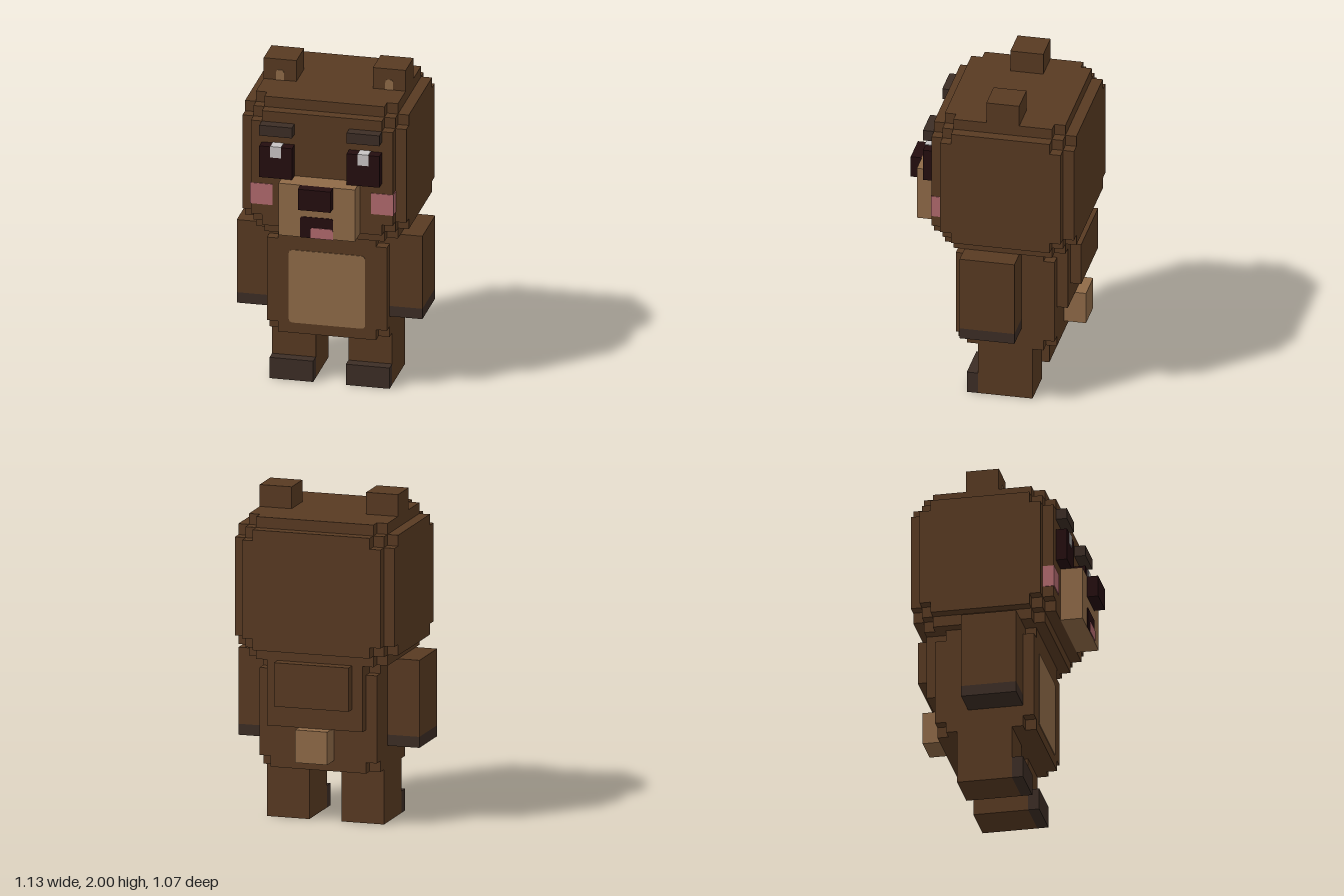
import * as THREE from 'three';
import { mergeGeometries } from 'three/addons/utils/BufferGeometryUtils.js';

const U = 1 / 15; // one block
const T = 0.06;   // thickness of painted plates, in blocks

const mat = (name, color) => {
  const m = new THREE.MeshStandardMaterial({ color });
  m.name = name;
  return m;
};

export function createModel() {
  const fur = mat('brown fur', 0x583a22);
  const tan = mat('tan fur', 0x8f6a47);
  const claw = mat('dark grey brown', 0x3c2d25);
  const dark = mat('near black', 0x240d0f);
  const pink = mat('pink', 0xb1696d);
  const white = mat('eye shine', 0xc8c4c4);
  const model = new THREE.Group();
  model.name = 'blockBear';

  const add = (name, geometry, material) => {
    const mesh = new THREE.Mesh(geometry, material);
    mesh.name = name;
    model.add(mesh);
  };
  // Box geometry from ranges given in blocks
  const span = ([x0, x1], [y0, y1], [z0, z1]) =>
    new THREE.BoxGeometry((x1 - x0) * U, (y1 - y0) * U, (z1 - z0) * U)
      .translate((x0 + x1) / 2 * U, (y0 + y1) / 2 * U, (z0 + z1) / 2 * U);
  const box = (name, material, x, y, z) => add(name, span(x, y, z), material);
  const pair = (name, material, [x0, x1], y, z) => {
    box(name + 'Left', material, [x0, x1], y, z);
    box(name + 'Right', material, [-x1, -x0], y, z);
  };
  // Stepped corners: union of copies of one box, inset per axis
  const stepped = (ranges, insets) => mergeGeometries(insets.map(inset =>
    span(...ranges.map(([a, b], i) => [a + inset[i], b - inset[i]]))));
  // Thin painted plate with rounded corners (bottom and top radii)
  const plate = (name, material, [x0, x1], [y0, y1], z, rb, rt) => {
    const s = new THREE.Shape();
    s.moveTo(x0 + rb, y0).lineTo(x1 - rb, y0);
    s.quadraticCurveTo(x1, y0, x1, y0 + rb).lineTo(x1, y1 - rt);
    s.quadraticCurveTo(x1, y1, x1 - rt, y1).lineTo(x0 + rt, y1);
    s.quadraticCurveTo(x0, y1, x0, y1 - rt).lineTo(x0, y0 + rb);
    s.quadraticCurveTo(x0, y0, x0 + rb, y0);
    const g = new THREE.ExtrudeGeometry(s, { depth: T, bevelEnabled: false, curveSegments: 4 });
    add(name, g.translate(0, 0, z).scale(U, U, U), material);
  };

  // Head and ears
  add('head', stepped([[-7.5, 7.5], [15, 28], [-8, 5]], [
    [1, 1, 1], [0, 1, 2], [0, 2, 1], [1, 0, 2], [2, 0, 1], [1, 2, 0], [2, 1, 0]]), fur);
  pair('ear', fur, [3.5, 6.5], [28, 30], [-3, 0]);
  for (const s of [-1, 1])
    plate('innerEar', tan, [s * 5 - 0.36, s * 5 + 0.36], [28, 29], 0, 0.02, 0.33);

  // Face
  pair('brow', claw, [2.5, 5.5], [25, 26], [5, 6]);
  pair('eye', dark, [2.5, 5.5], [21, 24], [5, 6]);
  pair('eyeShine', white, [3.5, 4.5], [23, 24 + T], [5, 6 + T]);
  pair('cheek', pink, [4.5, 6.5 + T], [18, 20], [4, 5 + T]);
  box('muzzle', tan, [-3.5, 3.5], [16, 21], [5, 7]);
  box('nose', dark, [-1.5, 1.5], [19, 21], [7, 8]);
  plate('mouth', dark, [-1.5, 1.5], [16, 18], 7, 0.02, 0.2);
  plate('tongue', pink, [-0.55, 1.5], [16, 17], 7 + T, 0.02, 0.2);

  // Body, belly patch, back hump and tail
  add('body', stepped([[-5.5, 5.5], [5, 15], [-6, 3]],
    [[1, 0, 0], [0, 1, 0], [0, 0, 1]]), fur);
  plate('belly', tan, [-3.5, 3.5], [6, 13], 3, 0.4, 0.4);
  box('upperBack', fur, [-4.5, 4.5], [9, 15], [-7, -6]);
  box('backHump', fur, [-3.5, 3.5], [11, 15], [-8, -7]);
  box('tail', tan, [-1.5, 1.5], [6, 9], [-8, -6]);

  // Arms with dark paws, legs with dark toes
  pair('arm', fur, [5.5, 8.5], [8, 15], [-3, 2]);
  pair('paw', claw, [5.5, 8.5], [7, 8], [-3, 2]);
  pair('leg', fur, [1.5, 5.5], [0, 5], [-4, 1]);
  pair('toes', claw, [1.5, 5.5], [0, 2], [1, 2]);

  return model;
}
